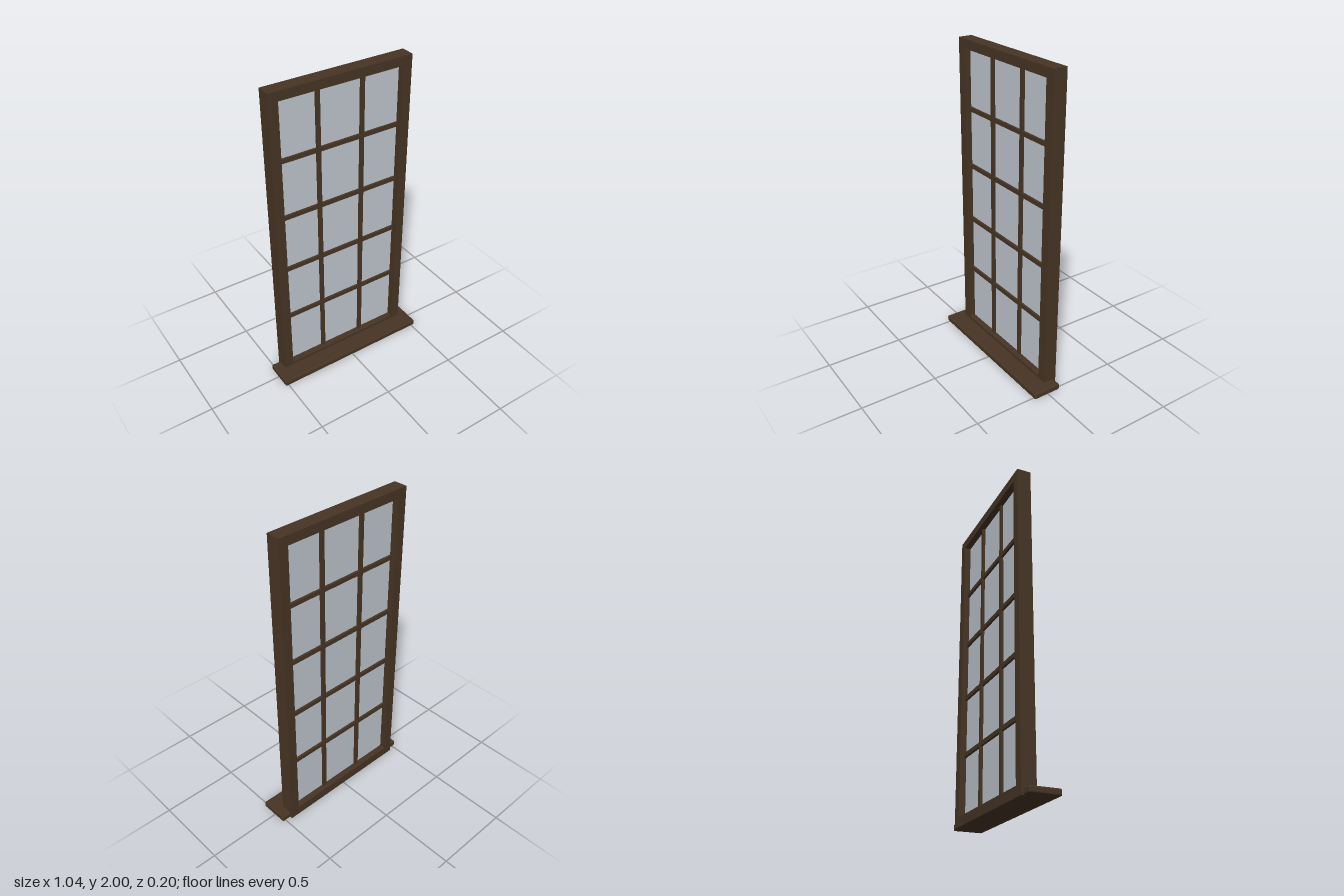
import * as THREE from 'three';
import { RoundedBoxGeometry } from 'three/addons/geometries/RoundedBoxGeometry.js';

export function createModel() {
  const model = new THREE.Group();
  model.name = 'window';

  const wood = new THREE.MeshStandardMaterial({ color: 0x473524 });
  wood.name = 'dark wood';
  const glass = new THREE.MeshStandardMaterial({ color: 0xc0c8d0 });
  glass.name = 'pale glass';

  function add(name, geometry, material, x, y, z) {
    const mesh = new THREE.Mesh(geometry, material);
    mesh.name = name;
    mesh.position.set(x, y, z);
    model.add(mesh);
  }

  const back = -0.1, front = -0.012, middle = (back + front) / 2;

  // Outer frame: one rectangle with a rectangular opening
  const outline = new THREE.Shape([
    new THREE.Vector2(-0.46, 0), new THREE.Vector2(0.46, 0),
    new THREE.Vector2(0.46, 2), new THREE.Vector2(-0.46, 2),
  ]);
  outline.holes.push(new THREE.Path([
    new THREE.Vector2(-0.4, 0.06), new THREE.Vector2(-0.4, 1.942),
    new THREE.Vector2(0.4, 1.942), new THREE.Vector2(0.4, 0.06),
  ]));
  const frame = new THREE.ExtrudeGeometry(outline, { depth: front - back, bevelEnabled: false });
  add('frame', frame, wood, 0, 0, back);

  // Glass sheet in the middle of the frame depth
  add('glassPane', new THREE.BoxGeometry(0.8, 1.882, 0.006), glass, 0, 1.001, middle);

  // Glazing bars, standing out on both sides of the glass
  for (const x of [-0.146, 0.146]) {
    add('verticalBar', new THREE.BoxGeometry(0.025, 1.882, 0.038), wood, x, 1.001, middle);
  }
  for (let i = 0; i < 4; i++) {
    add('horizontalBar', new THREE.BoxGeometry(0.8, 0.027, 0.036), wood, 0, 0.44 + i * 0.3755, middle);
  }

  // Sill with softened edges, projecting to the front and sides
  add('sill', new RoundedBoxGeometry(1.044, 0.04, 0.186, 2, 0.01), wood, 0, 0.02, 0.007);

  return model;
}
